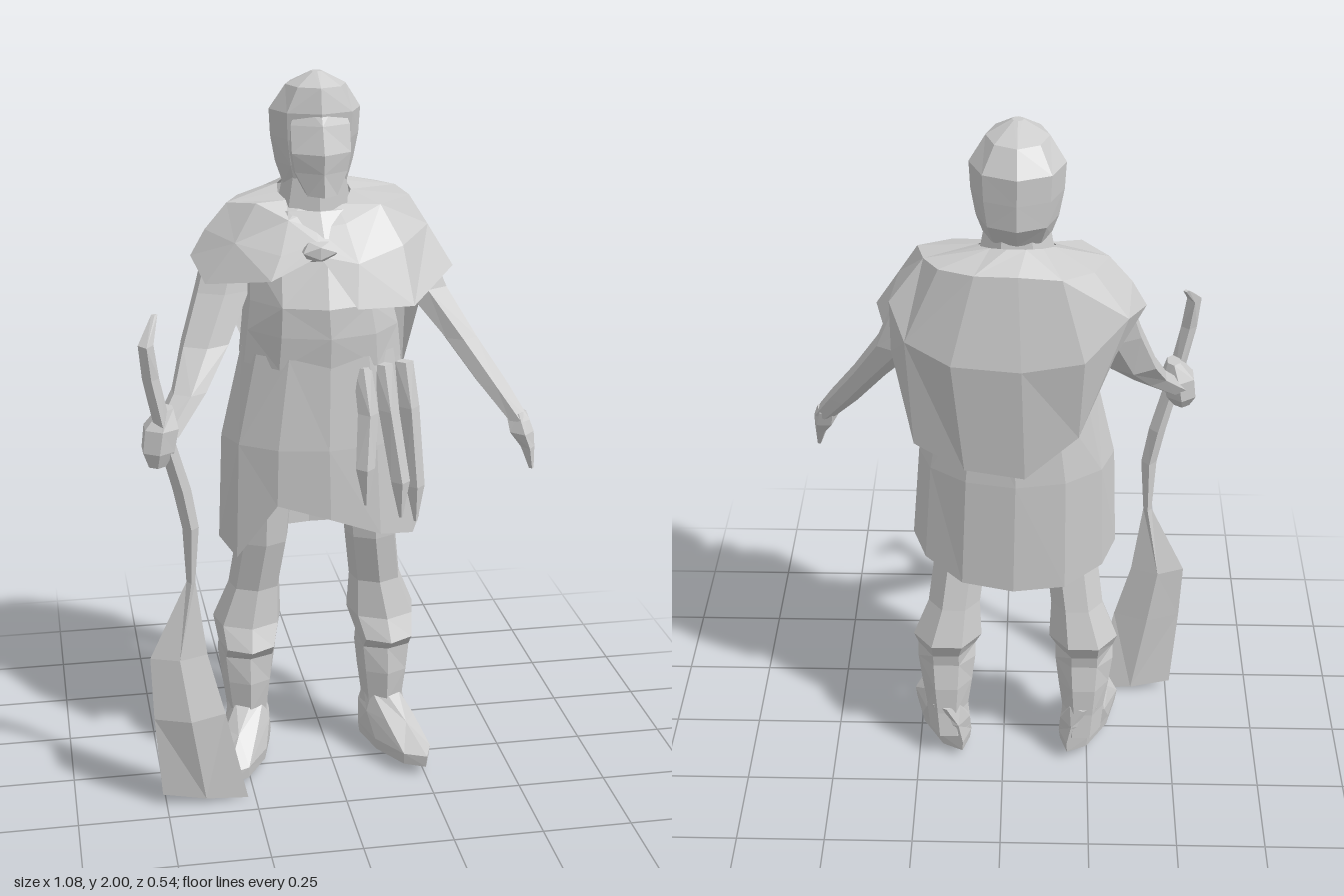
import * as THREE from 'three';

const stone = new THREE.MeshStandardMaterial({ color: 0xcccccc, flatShading: true, side: THREE.DoubleSide });
stone.name = 'pale grey';

// Skin between rings of points, listed from top to bottom, counter-clockwise seen from above
function skin(name, rings, capped = true) {
  const pos = [];
  const tri = (...p) => p.forEach((v) => pos.push(...v));
  const n = rings[0].length;
  for (let r = 0; r < rings.length - 1; r++) {
    for (let i = 0; i < n; i++) {
      const j = (i + 1) % n, a = rings[r], b = rings[r + 1];
      if ((i + r) % 2) {
        tri(a[i], b[i], b[j]);
        tri(a[i], b[j], a[j]);
      } else {
        tri(a[i], b[i], a[j]);
        tri(b[i], b[j], a[j]);
      }
    }
  }
  if (capped) {
    const top = rings[0], end = rings[rings.length - 1];
    for (let i = 1; i < n - 1; i++) {
      tri(top[0], top[i], top[i + 1]);
      tri(end[0], end[i + 1], end[i]);
    }
  }
  const g = new THREE.BufferGeometry();
  g.setAttribute('position', new THREE.Float32BufferAttribute(pos, 3));
  g.computeVertexNormals();
  const m = new THREE.Mesh(g, stone);
  m.name = name;
  return m;
}

// Elliptical ring; tilt raises the +x side, yaw turns it about y
function ring([x, y, z, rx, rz, tilt = 0, yaw = 0], sides) {
  return Array.from({ length: sides }, (_, i) => {
    const a = (i / sides) * Math.PI * 2;
    const u = Math.sin(a) * rx, v = Math.cos(a) * rz;
    return [x + u * Math.cos(yaw) + v * Math.sin(yaw), y + tilt * Math.sin(a), z + v * Math.cos(yaw) - u * Math.sin(yaw)];
  });
}
const loft = (name, sections, sides = 7, capped = true) =>
  skin(name, sections.map((s) => ring(s, sides)), capped);

export function createModel() {
  const model = new THREE.Group();
  model.name = 'clubBearer';
  const add = (...m) => model.add(...m);

  // Head: rounded hair with the face and beard pushed forward
  add(loft('hair', [
    [-0.035, 2.0, -0.03, 0.015, 0.015], [-0.035, 1.965, -0.045, 0.08, 0.09],
    [-0.035, 1.9, -0.06, 0.122, 0.118], [-0.035, 1.83, -0.065, 0.118, 0.112],
    [-0.035, 1.76, -0.07, 0.105, 0.105], [-0.035, 1.7, -0.06, 0.085, 0.07],
  ], 8));
  add(loft('face', [
    [-0.035, 1.94, -0.01, 0.06, 0.04], [-0.035, 1.87, -0.01, 0.09, 0.08], [-0.035, 1.8, 0, 0.09, 0.1],
    [-0.035, 1.75, 0, 0.08, 0.095], [-0.035, 1.69, 0.03, 0.045, 0.07],
  ], 6));
  add(loft('neck', [[-0.035, 1.76, -0.05, 0.08, 0.07], [-0.035, 1.6, -0.06, 0.11, 0.09]]));

  // Torso and open skirt with an uneven hem
  add(loft('torso', [
    [-0.035, 1.64, -0.07, 0.14, 0.1], [-0.03, 1.53, -0.05, 0.2, 0.16], [-0.035, 1.41, -0.03, 0.2, 0.2],
    [-0.03, 1.33, -0.02, 0.215, 0.19], [-0.03, 1.24, -0.02, 0.225, 0.18],
  ], 10));
  const hem = [0.82, 0.76, 0.73, 0.74, 0.72, 0.68, 0.67, 0.67, 0.7, 0.72, 0.69, 0.86];
  const hemRing = ring([-0.03, 0, -0.02, 0.285, 0.185], 12).map(([x, , z], i) => [x, hem[i], z]);
  add(skin('skirt', [
    ring([-0.03, 1.27, -0.02, 0.215, 0.18], 12),
    ring([-0.035, 1.02, -0.02, 0.268, 0.19], 12), hemRing,
  ], false));

  // Cape: neck ring, shoulders, widest part and trailing edge
  const capeRows = [
    [[-.05, 1.6, .05], [.03, 1.61, .05], [.13, 1.65, .01], [.22, 1.66, -.05], [.2, 1.67, -.14], [.16, 1.67, -.2], [.07, 1.67, -.235],
      [-.04, 1.67, -.24], [-.15, 1.66, -.235], [-.23, 1.65, -.17], [-.27, 1.65, -.08], [-.2, 1.66, -.01], [-.12, 1.62, .03]],
    [[-.05, 1.57, .09], [.05, 1.52, .13], [.18, 1.55, .07], [.27, 1.58, -.04], [.29, 1.55, -.15], [.25, 1.46, -.2], [.13, 1.43, -.27],
      [-.05, 1.42, -.28], [-.21, 1.44, -.265], [-.32, 1.53, -.19], [-.33, 1.58, -.08], [-.26, 1.56, .01], [-.15, 1.54, .09]],
    [[-.05, 1.54, .11], [.04, 1.41, .175], [.2, 1.4, .13], [.335, 1.47, -.01], [.29, 1.4, -.14], [.235, 1.14, -.18], [.1, 1.09, -.23],
      [-.06, 1.07, -.24], [-.2, 1.19, -.22], [-.29, 1.41, -.17], [-.37, 1.51, -.08], [-.34, 1.45, 0], [-.18, 1.48, .12]],
  ];
  const neckRing = ring([-0.035, 1.68, -0.08, 0.1, 0.09], 13).map(([x, y, z]) => [x, y - 0.35 * (z + 0.08), z]);
  add(skin('cape', [neckRing, ...capeRows], false));
  const knot = new THREE.Mesh(new THREE.IcosahedronGeometry(0.035, 0), stone);
  knot.name = 'capeKnot';
  knot.position.set(-0.05, 1.55, 0.1);
  knot.scale.set(1.5, 0.9, 0.9);
  add(knot);

  // Pointed sash ends hanging at the waist
  [[0.06, 0.055, 0.88, 0.22], [0.12, 0.155, 0.83, 0.2], [0.18, 0.205, 0.8, 0.16]].forEach(([x0, x1, y1, z1], i) =>
    add(loft('sashEnd' + (i + 1), [
      [x0, 1.24, 0.13 - i * 0.015, 0.025, 0.02], [x0 + 0.01, 1.12, 0.165 - i * 0.02, 0.028, 0.03],
      [x1, y1 + 0.1, z1 - 0.01, 0.026, 0.025], [x1, y1, z1, 0.005, 0.005],
    ], 4)));

  // Arms, with an open left hand and a right fist on the club
  add(loft('leftArm', [
    [0.22, 1.5, -0.1, 0.08, 0.07], [0.27, 1.4, -0.085, 0.068, 0.065], [0.36, 1.27, -0.02, 0.05, 0.055],
    [0.44, 1.15, 0.045, 0.045, 0.05], [0.5, 1.06, 0.1, 0.033, 0.042],
  ], 6));
  add(loft('leftHand', [
    [0.495, 1.08, 0.09, 0.03, 0.04], [0.505, 1.03, 0.115, 0.035, 0.05],
    [0.52, 0.99, 0.13, 0.02, 0.035], [0.53, 0.93, 0.145, 0.007, 0.012],
  ], 5));
  add(loft('rightArm', [
    [-0.26, 1.52, -0.09, 0.08, 0.07], [-0.29, 1.42, -0.06, 0.08, 0.07], [-0.345, 1.29, 0, 0.07, 0.065],
    [-0.4, 1.19, 0.1, 0.05, 0.055], [-0.475, 1.1, 0.19, 0.04, 0.045],
  ], 6));
  add(loft('rightHand', [
    [-0.47, 1.18, 0.2, 0.02, 0.03], [-0.485, 1.13, 0.205, 0.05, 0.055],
    [-0.495, 1.07, 0.21, 0.047, 0.055], [-0.5, 1.03, 0.22, 0.025, 0.03],
  ], 6));

  // Legs and outward-turned feet, mirrored about the body's middle
  for (const s of [1, -1]) {
    const side = s > 0 ? 'left' : 'right';
    const place = ([dx, y, z, rx, rz, yaw = 0]) => [-0.035 + s * dx, y, z, rx, rz, 0, s * yaw];
    add(loft(side + 'Leg', [
      [0.15, 0.9, -0.04, 0.09, 0.09], [0.155, 0.7, -0.04, 0.075, 0.075], [0.175, 0.55, -0.075, 0.075, 0.075],
      [0.195, 0.44, -0.085, 0.1, 0.1], [0.2, 0.38, -0.05, 0.085, 0.1], [0.2, 0.34, -0.07, 0.085, 0.07],
      [0.2, 0.26, -0.075, 0.075, 0.08], [0.2, 0.17, -0.08, 0.062, 0.075], [0.195, 0.09, -0.09, 0.06, 0.075],
    ].map(place)));
    add(loft(side + 'Foot', [
      [0.2, 0.19, -0.085, 0.055, 0.07], [0.205, 0.13, -0.05, 0.065, 0.115, 0.35],
      [0.22, 0.065, 0.0, 0.065, 0.17, 0.4], [0.22, 0.03, 0.0, 0.06, 0.165, 0.4],
    ].map(place), 8));
  }

  // Club: hooked tip, thin shaft and broad flat blade
  add(loft('club', [
    [-0.49, 1.42, 0.165, 0.008, 0.008], [-0.52, 1.36, 0.235, 0.02, 0.03], [-0.51, 1.27, 0.235, 0.022, 0.02],
    [-0.475, 1.1, 0.225, 0.022, 0.025], [-0.435, 0.95, 0.205, 0.024, 0.025], [-0.415, 0.84, 0.2, 0.022, 0.022],
    [-0.417, 0.68, 0.19, 0.012, 0.015], [-0.455, 0.46, 0.19, 0.078, 0.03],
    [-0.43, 0.28, 0.2, 0.098, 0.038], [-0.39, 0.016, 0.18, 0.12, 0.015, -0.016],
  ], 4));
  return model;
}
